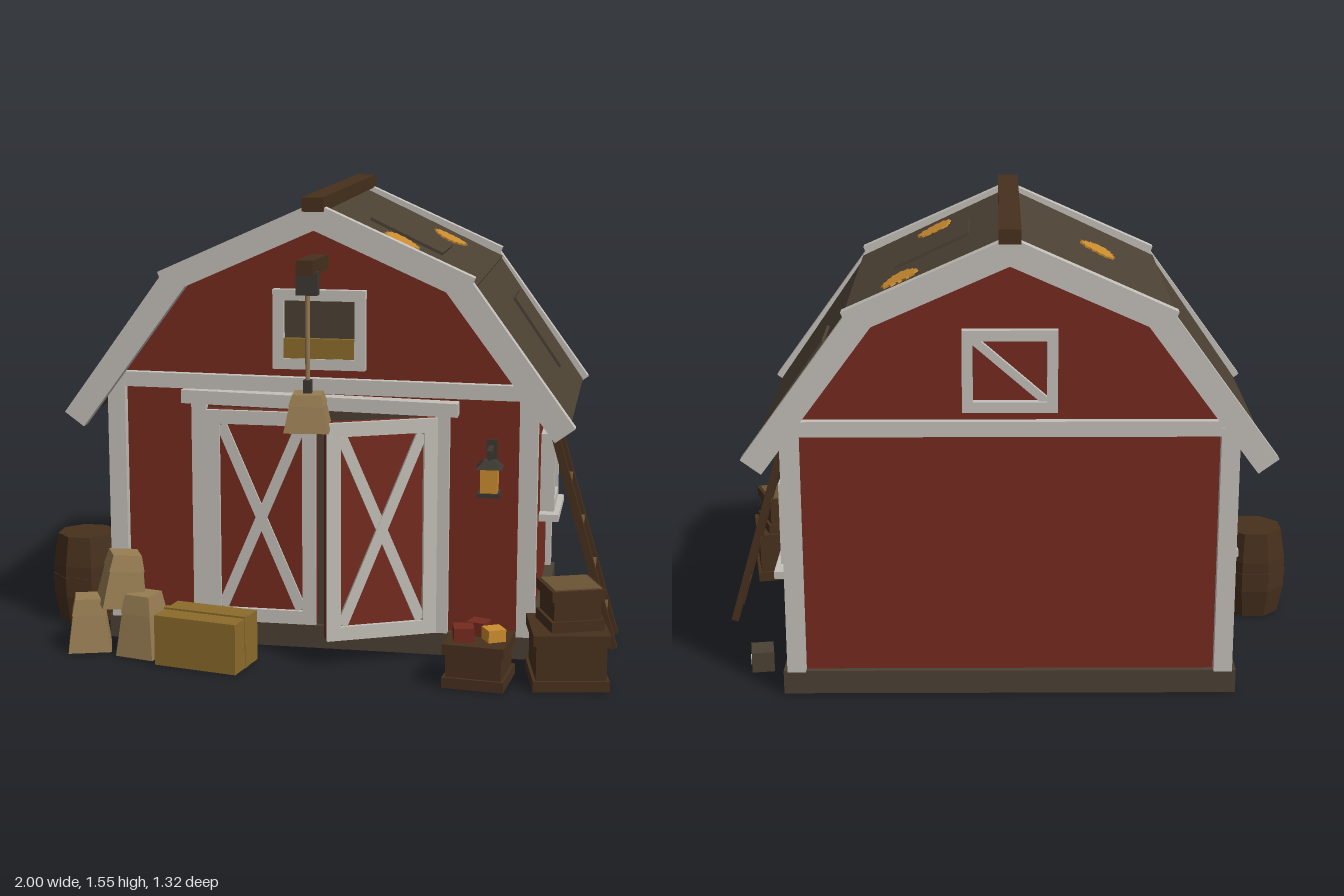
import * as THREE from 'three';

const mat = (name, color) => Object.assign(new THREE.MeshStandardMaterial({ color }), { name });
const red = mat('barn red', 0x752b1f);
const white = mat('white trim', 0xc4c0b9);
const umber = mat('weathered umber', 0x4b4133);
const wood = mat('dark wood', 0x47301d);
const wornWood = mat('worn wood', 0x6c5435);
const hay = mat('hay', 0x8c6c2c);
const sackM = mat('sackcloth', 0x967c52);
const amber = mat('amber', 0xcb8c2f);
const glass = mat('window glass', 0x3e4452);
const metal = mat('dark metal', 0x3c3832);

function put(parent, name, geo, m, pos = [0, 0, 0], rot = [0, 0, 0]) {
  const mesh = new THREE.Mesh(geo, m);
  mesh.name = name;
  mesh.position.set(...pos);
  mesh.rotation.set(...rot);
  parent.add(mesh);
  return mesh;
}
const box = (parent, name, m, size, pos, rot) =>
  put(parent, name, new THREE.BoxGeometry(...size), m, pos, rot);

function group(parent, name, pos = [0, 0, 0], ry = 0) {
  const g = new THREE.Group();
  g.name = name;
  g.position.set(...pos);
  g.rotation.y = ry;
  parent.add(g);
  return g;
}
// Faceted version of a geometry
function flat(geo) {
  const g = geo.toNonIndexed();
  g.computeVertexNormals();
  return g;
}
// Upright prism with a square, tapering section
const taper = (w0, w1, h) =>
  flat(new THREE.CylinderGeometry(w1 / Math.SQRT2, w0 / Math.SQRT2, h, 4).rotateY(Math.PI / 4));

function extrude(points, depth) {
  const shape = new THREE.Shape(points.map(([x, y]) => new THREE.Vector2(x, y)));
  return new THREE.ExtrudeGeometry(shape, { depth, bevelEnabled: false });
}
// Board in the xy plane between two points
function board(parent, name, m, [x0, y0], [x1, y1], width, depth, z) {
  const len = Math.hypot(x1 - x0, y1 - y0);
  return box(parent, name, m, [len, width, depth], [(x0 + x1) / 2, (y0 + y1) / 2, z],
    [0, 0, Math.atan2(y1 - y0, x1 - x0)]);
}
// Rectangular frame of four boards, centred on its origin
function frame(parent, name, w, h, t, d, z = 0) {
  for (const s of [-1, 1]) {
    box(parent, name, white, [t, h, d], [s * (w - t) / 2, 0, z]);
    box(parent, name, white, [w - 2 * t, t, d], [0, s * (h - t) / 2, z]);
  }
}

// Door panel with border and crossed braces on its front
function door(parent, name, pos, ry) {
  const g = group(parent, name, pos, ry);
  box(g, 'doorPanel', red, [0.373, 0.728, 0.028], [0, 0, 0]);
  frame(g, 'doorBorder', 0.375, 0.73, 0.046, 0.016, 0.021);
  for (const s of [-1, 1])
    board(g, 'doorBrace', white, [-0.135 * s, -0.315], [0.135 * s, 0.315], 0.036, 0.012, 0.018 + s * 0.001);
}

// Four-pane side window facing +z locally
function sideWindow(parent, name, pos, ry) {
  const g = group(parent, name, pos, ry);
  box(g, 'glass', glass, [0.24, 0.24, 0.02], [0, 0, 0.008]);
  frame(g, 'windowFrame', 0.28, 0.28, 0.034, 0.05, 0.016);
  box(g, 'mullion', white, [0.014, 0.22, 0.03], [0, 0, 0.014]);
  box(g, 'mullion', white, [0.22, 0.014, 0.03], [0, 0, 0.014]);
  box(g, 'sill', white, [0.36, 0.025, 0.07], [0, -0.16, 0.025], [0, 0, -0.025]);
}

function sack(parent, name, pos, w, h, ry, lean = 0) {
  const g = group(parent, name, pos, ry);
  g.rotation.z = lean;
  put(g, 'sackBody', taper(w, w * 0.76, h * 0.7), sackM, [0, h * 0.35, 0]);
  put(g, 'sackTop', taper(w * 0.8, w * 0.64, h * 0.3), sackM, [0, h * 0.85, 0]);
}

function crate(parent, name, pos, w, h, ry) {
  const g = group(parent, name, pos, ry);
  box(g, 'crateBody', wood, [w, h, w], [0, h / 2, 0]);
  const t = Math.min(0.035, h * 0.3);
  for (const y of [t / 2, h - t / 2])
    box(g, 'crateBand', wood, [w + 0.02, t, w + 0.02], [0, y, 0]);
  return g;
}

export function createModel() {
  const barn = new THREE.Group();
  barn.name = 'barn';

  // Base and walls
  box(barn, 'foundation', umber, [1.48, 0.08, 0.94], [0, 0.05, -0.16]);
  put(barn, 'walls', extrude([[-0.705, 0.09], [0.705, 0.09], [0.705, 0.93], [0.49, 1.22],
    [0, 1.455], [-0.49, 1.22], [-0.705, 0.93]], 0.9), red, [0, 0, -0.61]);
  for (const sx of [-1, 1]) for (const z of [0.292, -0.612])
    box(barn, 'cornerBoard', white, [0.06, 0.83, 0.06], [sx * 0.696, 0.505, z]);
  box(barn, 'frontBand', white, [1.36, 0.05, 0.04], [0, 0.918, 0.3], [0, 0, -0.008]);
  box(barn, 'backBand', white, [1.36, 0.05, 0.035], [0, 0.918, -0.62]);

  // Gambrel roof, the upper slopes lapping over the lower ones
  const eave = [0.83, 0.81], knee = [0.51, 1.272], ridge = [0, 1.512];
  const roofPoint = (a, b, t, off) => {
    const len = Math.hypot(b[0] - a[0], b[1] - a[1]);
    const n = [(b[1] - a[1]) / len, (a[0] - b[0]) / len];
    return [a[0] + (b[0] - a[0]) * t + n[0] * off, a[1] + (b[1] - a[1]) * t + n[1] * off];
  };
  for (const s of [-1, 1]) for (const [a, b, start] of [[eave, knee, 0], [knee, ridge, -0.025]]) {
    const [p, q] = [start, 1].map((t) => roofPoint(a, b, t, -0.016));
    board(barn, 'roofSlope', umber, [s * p[0], p[1]], [s * q[0], q[1]], 0.032, 0.98, -0.117);
  }
  for (const z of [0.365, -0.645])
    put(barn, 'rakeBoards', extrude([[0.85, 0.82], [0.515, 1.28], [0.522, 1.297], [0, 1.53],
      [-0.522, 1.297], [-0.515, 1.28], [-0.85, 0.82],
      [-0.785, 0.772], [-0.43, 1.25], [0, 1.44], [0.43, 1.25], [0.785, 0.772]], 0.042), white, [0, 0, z]);
  box(barn, 'ridgeBeam', wood, [0.07, 0.046, 1.09], [0, 1.53, -0.115], [0.009, 0, 0]);

  // Raised roof repairs
  const lower = [0, 1].map((t) => roofPoint(eave, knee, 0.22 + t * 0.52, 0.004));
  board(barn, 'roofRepair', umber, ...lower, 0.012, 0.215, -0.345);
  const upper = [0, 1].map((t) => roofPoint(knee, ridge, 0.26 + t * 0.48, 0.004));
  board(barn, 'roofRepair', umber, ...upper, 0.012, 0.285, -0.055);

  // Ragged amber patches lying on the upper slopes
  const tilt = Math.atan2(ridge[1] - knee[1], knee[0]);
  for (const [x, z, turn] of [[0.35, -0.39, 0], [-0.3, -0.06, 1], [0.255, 0.2, 2]]) {
    const pts = [];
    for (let i = 0; i < 28; i++) {
      const a = i * Math.PI / 14;
      const r = 0.062 + 0.006 * Math.sin(3 * a + turn) + (i % 2 ? 0.008 : -0.004);
      pts.push([r * 0.93 * Math.cos(a), r * 1.12 * Math.sin(a)]);
    }
    const geo = extrude(pts, 0.006).rotateX(-Math.PI / 2);
    const s = Math.sign(x);
    put(barn, 'roofPatch', geo, amber, [x, ridge[1] - Math.abs(x) * Math.tan(tilt), z], [0, 0, -s * tilt]);
  }

  // Doorway and doors, one of them ajar
  box(barn, 'doorOpening', umber, [0.78, 0.74, 0.008], [0, 0.46, 0.291]);
  door(barn, 'leftDoor', [-0.195, 0.465, 0.312], 0);
  door(barn, 'openDoor', [0.22, 0.465, 0.404], 0.44);
  for (const s of [-1, 1])
    box(barn, 'doorPost', white, [0.05, 0.76, 0.035], [s * 0.411, 0.47, 0.303]);
  box(barn, 'doorTrack', white, [0.93, 0.045, 0.06], [0, 0.864, 0.315], [0, 0, -0.02]);

  // Loft hatch with hay
  const loft = group(barn, 'loftHatch', [0, 1.105, 0.292]);
  box(loft, 'loftOpening', umber, [0.25, 0.21, 0.008], [0, 0, 0]);
  frame(loft, 'loftFrame', 0.31, 0.265, 0.036, 0.035, 0.012);
  box(loft, 'loftHay', hay, [0.238, 0.07, 0.024], [0, -0.065, 0.012]);

  // Back hatch with diagonal brace
  const hatch = group(barn, 'backHatch', [0, 1.105, -0.612], Math.PI);
  frame(hatch, 'hatchFrame', 0.3, 0.265, 0.034, 0.035, 0.01);
  board(hatch, 'hatchBrace', white, [-0.115, 0.1], [0.115, -0.1], 0.026, 0.02, 0.008);

  sideWindow(barn, 'rightWindow', [0.715, 0.54, -0.325], Math.PI / 2);
  sideWindow(barn, 'leftWindow', [-0.715, 0.54, -0.16], -Math.PI / 2);

  // Hoist with hanging load
  box(barn, 'hoistBeam', wood, [0.055, 0.048, 0.3], [0, 1.332, 0.415], [-0.03, 0, 0]);
  box(barn, 'hoistBlock', metal, [0.07, 0.075, 0.04], [0, 1.283, 0.51]);
  put(barn, 'hoistRope', new THREE.CylinderGeometry(0.008, 0.008, 0.29, 8), sackM, [0, 1.11, 0.51]);
  box(barn, 'hoistHook', metal, [0.025, 0.045, 0.025], [0, 0.95, 0.51]);
  sack(barn, 'hangingSack', [0, 0.81, 0.51], 0.145, 0.12, 0.1);

  // Wall lantern
  const lantern = group(barn, 'lantern', [0.575, 0, 0.375]);
  box(lantern, 'lanternArm', metal, [0.016, 0.016, 0.09], [0, 0.73, -0.015]);
  box(lantern, 'lanternPlate', metal, [0.035, 0.07, 0.012], [0, 0.72, -0.08]);
  box(lantern, 'lanternStem', metal, [0.012, 0.05, 0.012], [0, 0.71, 0]);
  put(lantern, 'lanternCap', taper(0.085, 0.04, 0.025), metal, [0, 0.69, 0]);
  box(lantern, 'lanternGlow', amber, [0.056, 0.085, 0.056], [0, 0.637, 0]);
  box(lantern, 'lanternBase', metal, [0.072, 0.014, 0.072], [0, 0.59, 0]);

  // Leaning ladder
  const foot = [0.985, 0.012], top = [0.757, 0.795];
  for (const z of [0.138, -0.02])
    board(barn, 'ladderRail', wood, foot, top, 0.026, 0.027, z);
  for (let i = 0; i < 5; i++) {
    const t = (0.13 + i * 0.15 - foot[1]) / (top[1] - foot[1]);
    box(barn, 'ladderRung', wornWood, [0.018, 0.018, 0.15],
      [foot[0] + (top[0] - foot[0]) * t, 0.13 + i * 0.15, 0.059]);
  }

  // Crates, the upper one with a worn lid
  crate(barn, 'largeCrate', [0.845, 0.01, 0.485], 0.225, 0.185, 0.17);
  const stacked = crate(barn, 'upperCrate', [0.85, 0.195, 0.475], 0.155, 0.135, 0.36);
  box(stacked, 'crateLid', wornWood, [0.155, 0.008, 0.155], [0, 0.135, 0]);
  const small = crate(barn, 'smallCrate', [0.565, 0.01, 0.545], 0.18, 0.145, -0.11);
  box(small, 'redGoods', red, [0.065, 0.05, 0.065], [-0.045, 0.165, 0.03], [0, 0.3, 0]);
  box(small, 'redGoods', red, [0.06, 0.05, 0.06], [-0.01, 0.165, -0.04], [0, -0.2, 0]);
  box(small, 'amberGoods', amber, [0.06, 0.045, 0.06], [0.05, 0.163, 0.01], [0, 0.6, 0]);

  // Hay bale with strap
  const bale = group(barn, 'hayBale', [-0.345, 0.01, 0.518], -0.2);
  box(bale, 'baleBody', hay, [0.293, 0.17, 0.178], [0, 0.085, 0]);
  box(bale, 'baleStrap', hay, [0.297, 0.176, 0.026], [0, 0.088, 0]);

  // Grain sacks
  sack(barn, 'sack', [-0.775, 0.01, 0.43], 0.145, 0.18, 0.3);
  sack(barn, 'sack', [-0.575, 0.01, 0.46], 0.14, 0.21, -0.25);
  sack(barn, 'sack', [-0.665, 0.165, 0.42], 0.15, 0.18, 0.45, -0.1);

  // Eight-sided barrel
  const barrel = group(barn, 'barrel', [-0.885, 0.01, 0.095], Math.PI / 8);
  const ring = [[0, 0], [0.102, 0], [0.121, 0.1], [0.121, 0.21], [0.104, 0.315], [0, 0.315]];
  put(barrel, 'barrelBody', flat(new THREE.LatheGeometry(ring.map((p) => new THREE.Vector2(...p)), 8)), wood);
  put(barrel, 'barrelHoop', flat(new THREE.CylinderGeometry(0.124, 0.124, 0.03, 8)), wood, [0, 0.155, 0]);

  // Loose stone block beside the wall
  const block = group(barn, 'stoneBlock', [0.835, 0.045, -0.42], 0.15);
  box(block, 'blockBody', umber, [0.075, 0.07, 0.09], [0, 0, 0]);
  box(block, 'blockChip', white, [0.006, 0.03, 0.018], [0.037, 0.005, -0.025]);
  return barn;
}
